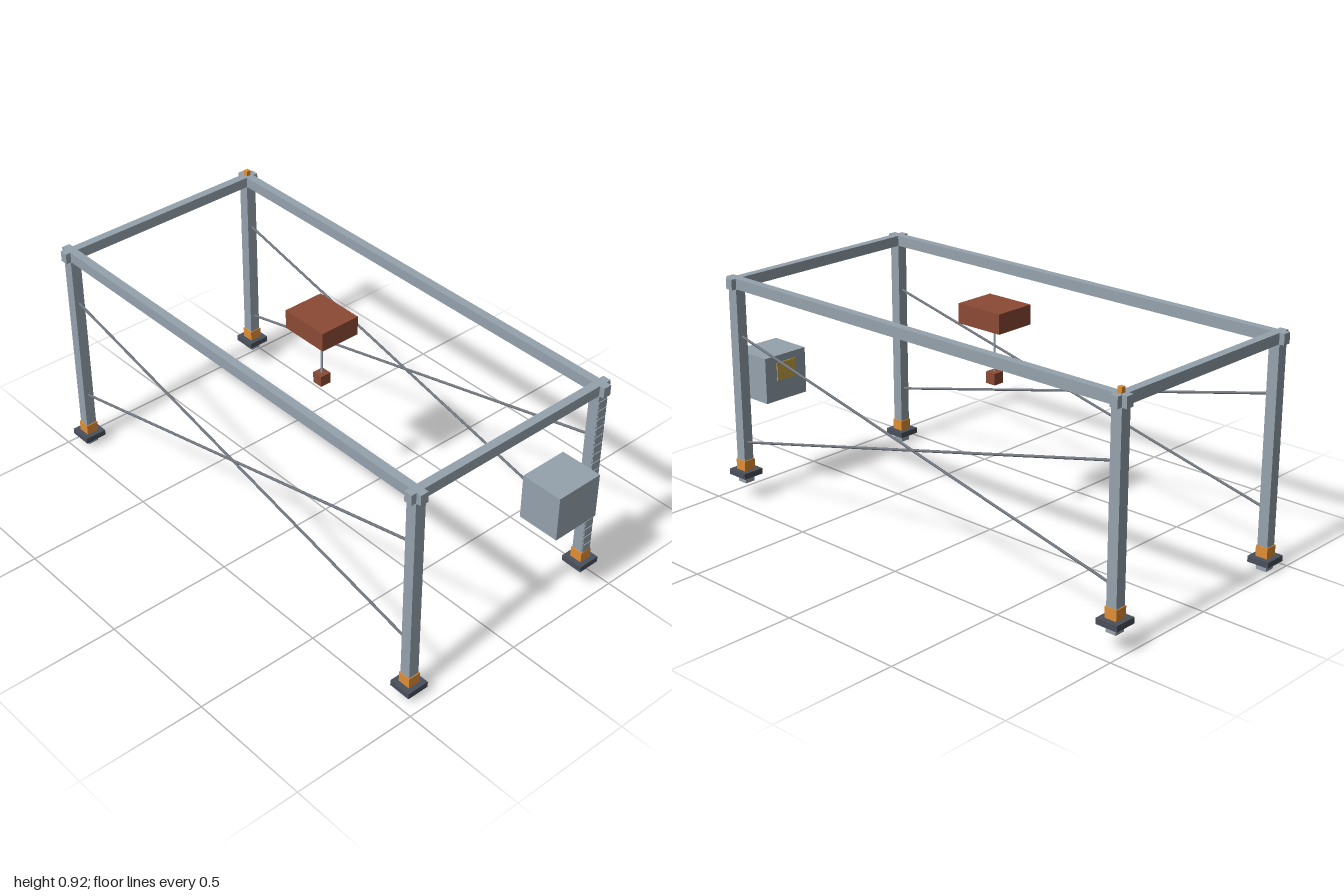
import * as THREE from 'three';

const mat = (name, color) => new THREE.MeshStandardMaterial({ name, color });

export function createModel() {
  const steel = mat('steel', 0x95a2ad);
  const dark = mat('darkSteel', 0x4a505b);
  const rodGrey = mat('rodGrey', 0x70767e);
  const rust = mat('rust', 0x8c4a34);
  const orange = mat('orange', 0xe08e35);
  const amber = mat('amber', 0xc8a548);

  const model = new THREE.Group();
  model.name = 'gantryFrame';

  const CX = -0.021, HX = 0.934, HZ = 0.425;   // frame centre and half spans

  // Box given by its minimum and maximum corners
  const box = (name, material, [x0, y0, z0], [x1, y1, z1], parent = model) => {
    const m = new THREE.Mesh(new THREE.BoxGeometry(x1 - x0, y1 - y0, z1 - z0), material);
    m.position.set((x0 + x1) / 2, (y0 + y1) / 2, (z0 + z1) / 2);
    m.name = name;
    parent.add(m);
  };
  // Square block centred on a vertical axis
  const block = (name, material, x, z, half, y0, y1, parent) =>
    box(name, material, [x - half, y0, z - half], [x + half, y1, z + half], parent);

  // Round rod between two points
  const rod = (name, material, a, b, r) => {
    const dir = b.clone().sub(a);
    const m = new THREE.Mesh(new THREE.CylinderGeometry(r, r, dir.length(), 16), material);
    m.position.copy(a).add(b).multiplyScalar(0.5);
    m.quaternion.setFromUnitVectors(new THREE.Vector3(0, 1, 0), dir.normalize());
    m.name = name;
    model.add(m);
  };

  // Legs with foot plates and collars; the rear feet stand higher
  for (const sx of [-1, 1]) for (const sz of [-1, 1]) {
    const leg = new THREE.Group();
    leg.name = (sz > 0 ? 'front' : 'rear') + (sx > 0 ? 'Left' : 'Right') + 'Leg';
    model.add(leg);
    const x = CX + sx * HX, z = sz * HZ, y = sz > 0 ? 0 : 0.069;
    block('post', steel, x, z, 0.0215, y, 0.858, leg);
    block('footPlate', dark, x, z, 0.045, y + 0.029, y + 0.052, leg);
    block('collar', orange, x, z, 0.025, y + 0.052, y + 0.094, leg);
  }

  // Top beams overrun each corner
  const over = 0.037, half = 0.0165;
  for (const s of [-1, 1]) {
    box('longBeam', steel, [CX - HX - over, 0.858, s * HZ - half], [CX + HX + over, 0.9, s * HZ + half]);
    const x = CX + s * HX;
    box('sideBeam', steel, [x - half, 0.858, -HZ - over], [x + half, 0.8995, HZ + over]);
  }

  // Crossed braces on front and rear
  for (const z of [-HZ, HZ]) for (const s of [-1, 1]) {
    rod('crossBrace', rodGrey,
      new THREE.Vector3(CX - s * (HX - 0.018), 0.235, z),
      new THREE.Vector3(CX + s * (HX - 0.018), 0.668, z), 0.005);
  }

  // Trolley with hanging weight
  box('trolley', rust, [CX - 0.1, 0.82, -0.083], [CX + 0.1, 0.895, 0.083]);
  rod('hoistCable', steel, new THREE.Vector3(CX, 0.63, 0), new THREE.Vector3(CX, 0.816, 0), 0.004);
  block('hoistWeight', rust, CX, 0, 0.022, 0.594, 0.638);

  // Cable chain up the rear left post, passing behind the collar
  const chain = new THREE.Group();
  chain.name = 'cableChain';
  model.add(chain);
  const px = CX + HX + 0.0215;
  for (let i = 0; i < 19; i++) {
    const y = 0.124 + i * 0.0377;
    box('chainLink', steel, [px - 0.002, y, -HZ - 0.02], [px + 0.003, y + 0.033, -HZ + 0.02], chain);
  }

  // Control cabinet with a panel on its inner face
  box('controlCabinet', steel, [0.829, 0.396, -0.373], [1.0, 0.579, -0.173]);
  box('controlPanel', amber, [0.825, 0.478, -0.318], [0.83, 0.55, -0.228]);

  // Beacon on the rear right corner
  block('beacon', orange, CX - HX, -HZ, 0.009, 0.9, 0.921);

  return model;
}
